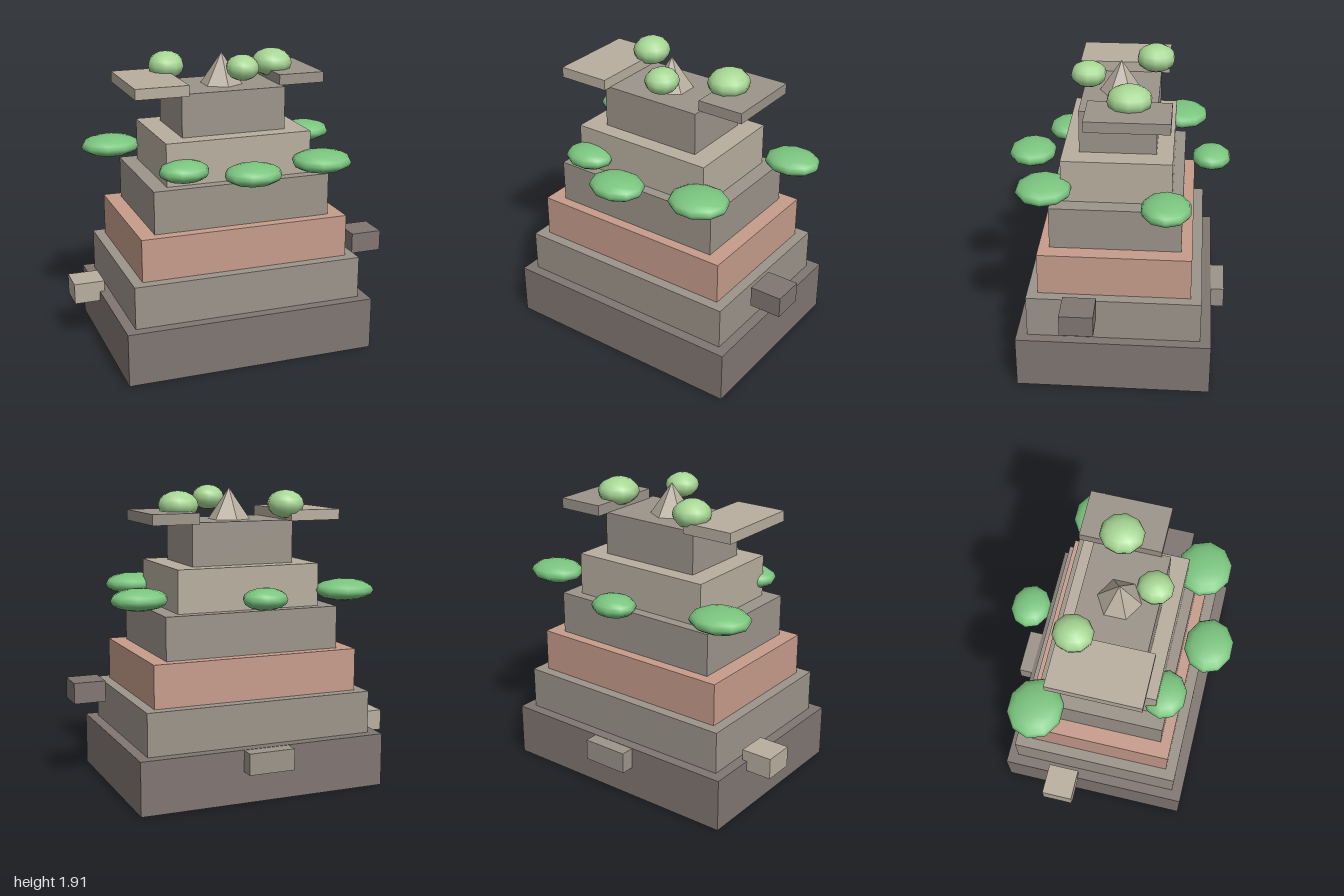
import * as THREE from 'three';

const mat = (color, flatShading = false) => new THREE.MeshStandardMaterial({ color, flatShading });

export function createModel() {
  const root = new THREE.Group();
  const dark = mat(0x807672, true);
  const mid = mat(0x9c948a, true);
  const light = mat(0xb8ae9f, true);
  const clay = mat(0xc69c8b, true);
  const leaf = mat(0x7bc57f);
  const paleLeaf = mat(0xa8d795);
  const CX = -0.02, CZ = -0.013;

  const add = (name, geometry, material, x, y, z) => {
    const mesh = new THREE.Mesh(geometry, material);
    mesh.name = name;
    mesh.position.set(x, y, z);
    root.add(mesh);
    return mesh;
  };

  // Box given by its min and max on each axis
  const block = (name, material, [x0, x1], [y0, y1], [z0, z1]) =>
    add(name, new THREE.BoxGeometry(x1 - x0, y1 - y0, z1 - z0), material,
      (x0 + x1) / 2, (y0 + y1) / 2, (z0 + z1) / 2);

  // Stepped tiers: width, height, depth, material
  let y = 0;
  [
    [1.626, 0.34, 1.22, dark],
    [1.492, 0.272, 1.085, mid],
    [1.356, 0.272, 0.95, clay],
    [1.152, 0.272, 0.815, mid],
    [0.948, 0.272, 0.68, light],
    [0.678, 0.272, 0.475, mid],
  ].forEach(([w, h, d, material], i) => {
    add(`tier${i + 1}`, new THREE.BoxGeometry(w, h, d), material, CX, y + h / 2, CZ);
    y += h;
  });

  // Small ledges sticking out of the sides
  block('leftLedge', dark, [0.795, 1], [0.545, 0.68], [0.085, 0.29]);
  block('rightLedge', light, [-1, -0.8], [0.275, 0.41], [-0.32, -0.12]);
  block('backLedge', mid, [-0.17, 0.13], [0.202, 0.338], [-0.71, -0.51]);

  // Overhanging slabs on the summit
  block('rightSlab', light, [-0.665, -0.325], [1.697, 1.765], [-0.305, 0.275]);
  block('leftSlab', mid, [0.305, 0.607], [1.697, 1.765], [-0.34, 0.17]);

  // Six-sided peak
  add('peak', new THREE.ConeGeometry(0.135, 0.2, 6), light, CX, 1.8, CZ);

  // Foliage: x, y, z, then radii along x, y, z
  const ball = new THREE.SphereGeometry(1, 10, 8);
  const foliage = (name, material, list) => list.forEach(([x, cy, z, rx, ry, rz], i) => {
    add(`${name}${i + 1}`, ball, material, x, cy, z).scale.set(rx, ry, rz);
  });

  // Flat bushes around the middle
  foliage('bush', leaf, [
    [-0.663, 1.257, -0.39, 0.195, 0.068, 0.175],
    [0.69, 1.257, -0.325, 0.182, 0.068, 0.155],
    [-0.02, 1.257, -0.59, 0.145, 0.068, 0.125],
    [-0.02, 1.257, 0.56, 0.182, 0.068, 0.153],
    [0.49, 1.257, 0.427, 0.193, 0.068, 0.175],
    [-0.393, 1.257, 0.36, 0.16, 0.068, 0.137],
  ]);

  // Round shrubs on the summit
  foliage('summitShrub', paleLeaf, [
    [-0.325, 1.8, -0.215, 0.118, 0.09, 0.125],
    [0.353, 1.8, -0.085, 0.13, 0.09, 0.14],
    [0.048, 1.832, 0.185, 0.105, 0.08, 0.112],
  ]);

  return root;
}
